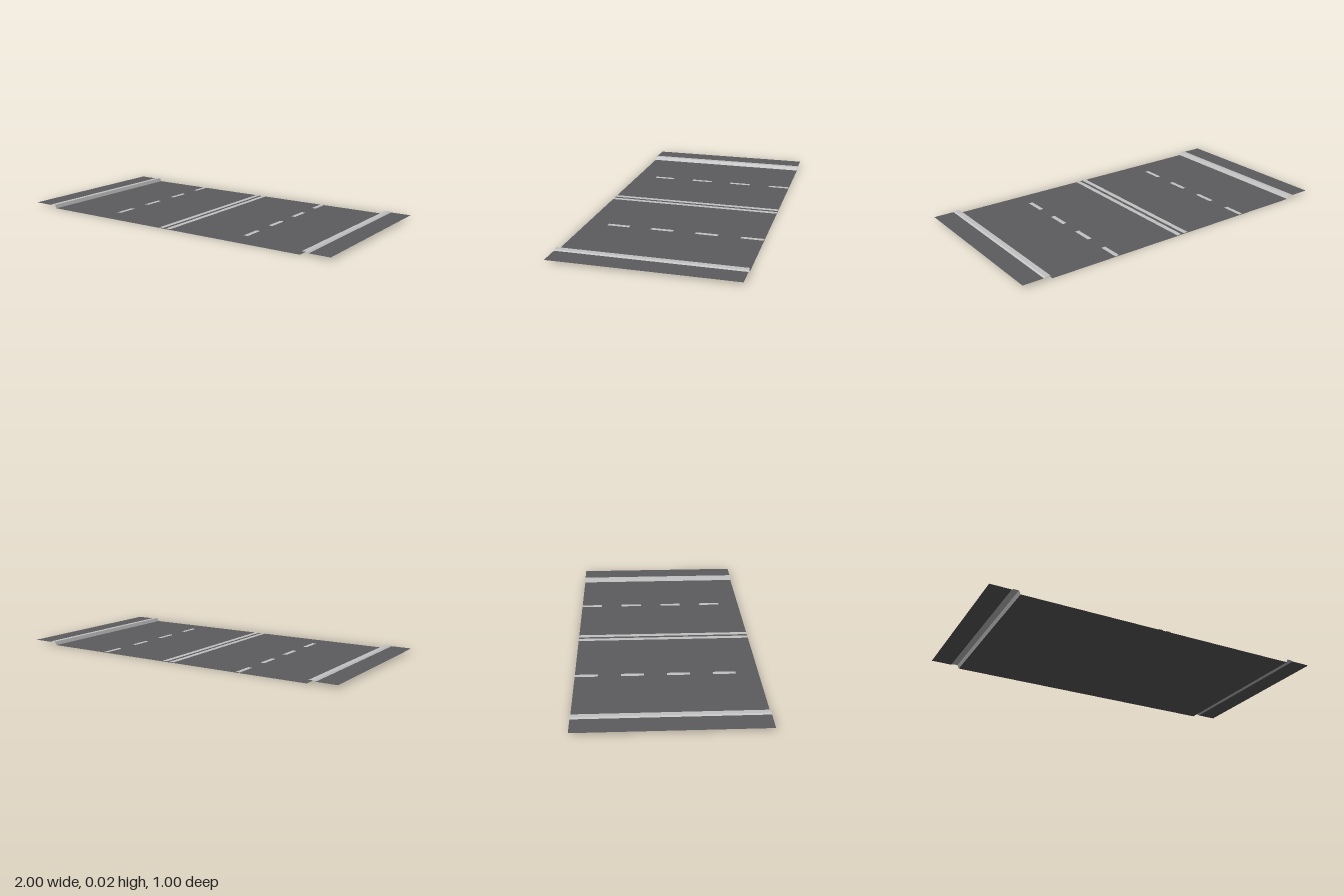
import * as THREE from 'three';

export function createModel() {
  const root = new THREE.Group();
  root.name = 'roadSegment';
  const asphalt = new THREE.MeshStandardMaterial({ name: 'asphalt', color: 0x5c5c5e, side: THREE.DoubleSide });
  const paleGrey = new THREE.MeshStandardMaterial({ name: 'paleGrey', color: 0xc2c2c2, side: THREE.DoubleSide });

  // Sweeps an [x, y] profile, listed by increasing x, from z0 to z1 as flat facets
  function sheet(name, profile, material, z0 = -0.5, z1 = 0.5) {
    const pos = [];
    for (let i = 0; i < profile.length - 1; i++) {
      const [xa, ya] = profile[i], [xb, yb] = profile[i + 1];
      pos.push(xa, ya, z0, xa, ya, z1, xb, yb, z1, xa, ya, z0, xb, yb, z1, xb, yb, z0);
    }
    const geometry = new THREE.BufferGeometry();
    geometry.setAttribute('position', new THREE.Float32BufferAttribute(pos, 3));
    geometry.computeVertexNormals();
    const mesh = new THREE.Mesh(geometry, material);
    mesh.name = name;
    root.add(mesh);
  }

  const mirror = (profile, side) => side > 0 ? profile : profile.map(([x, y]) => [-x, y]).reverse();

  // Carriageway
  sheet('roadway', [[-0.835, 0], [0.835, 0]], asphalt);

  const paintY = 0.004;
  for (const side of [1, -1]) {
    const label = side > 0 ? 'left' : 'right';
    // Raised kerb with a steep inner face and a small outer bevel, then the pavement
    sheet(label + 'Kerb', mirror([[0.835, 0], [0.845, 0.02], [0.872, 0.02], [0.882, 0.015]], side), paleGrey);
    sheet(label + 'Pavement', mirror([[0.882, 0.015], [1, 0.015]], side), asphalt);
    // Solid centre line
    sheet(label + 'CentreLine', mirror([[0.009, paintY], [0.037, paintY]], side), paleGrey);
    // Dashed lane line
    for (let i = 0; i < 4; i++) {
      const z = -0.5 + i * 0.25;
      sheet(label + 'LaneDash', mirror([[0.43, paintY], [0.455, paintY]], side), paleGrey, z, z + 0.125);
    }
  }
  return root;
}
